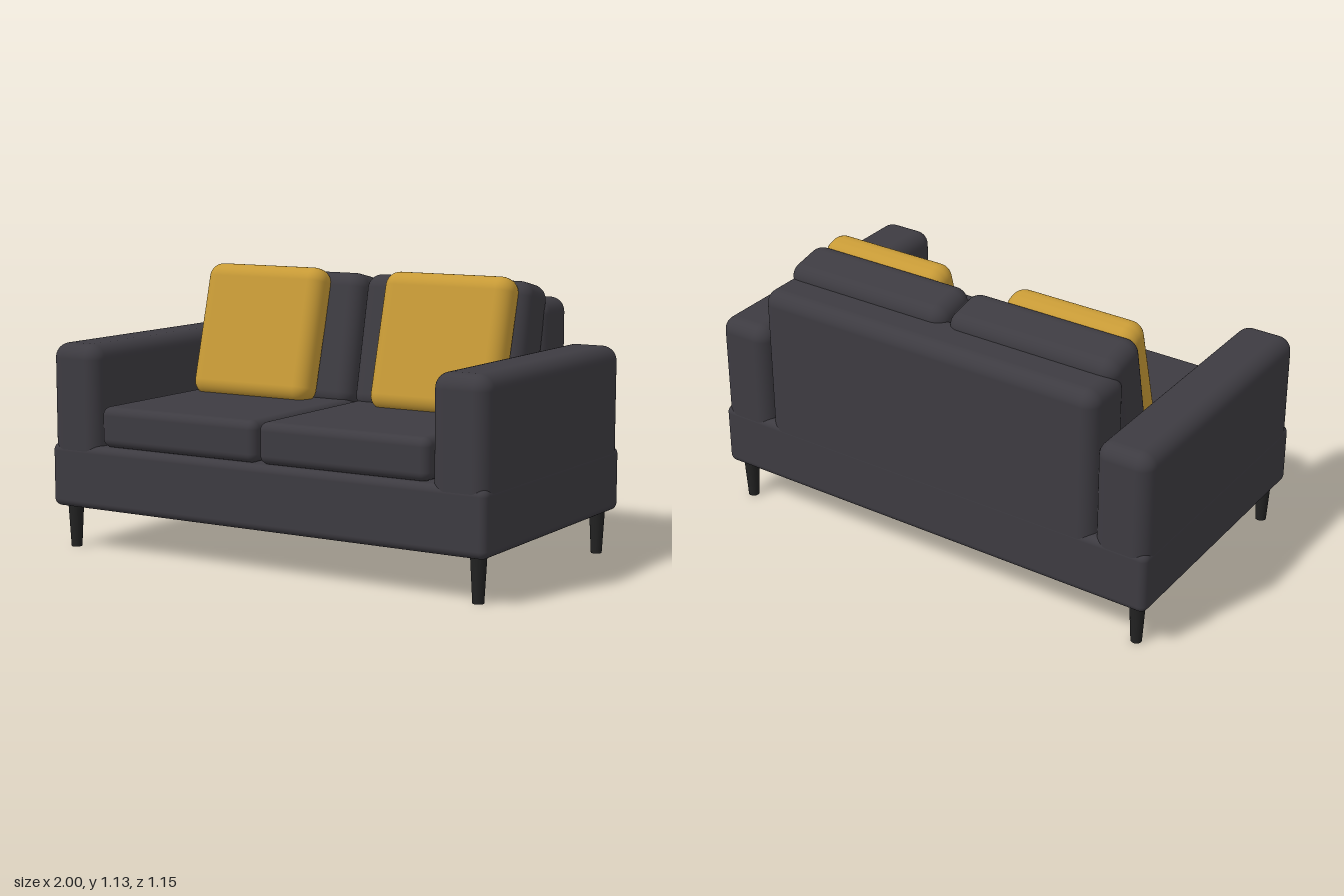
import * as THREE from 'three';
import { RoundedBoxGeometry } from 'three/addons/geometries/RoundedBoxGeometry.js';

export function createModel() {
  const model = new THREE.Group();
  model.name = 'sofa';
  const material = (name, color) => {
    const m = new THREE.MeshStandardMaterial({ color });
    m.name = name;
    return m;
  };
  const fabric = material('charcoal fabric', 0x3d3b41);
  const mustard = material('mustard fabric', 0xc79a36);
  const legPaint = material('black legs', 0x222222);

  // Softly rounded upholstered block, optionally leaning back
  function block(name, mat, size, pos, radius, lean = 0) {
    const mesh = new THREE.Mesh(new RoundedBoxGeometry(...size, 5, radius), mat);
    mesh.name = name;
    mesh.position.set(...pos);
    mesh.rotation.x = -THREE.MathUtils.degToRad(lean);
    model.add(mesh);
  }

  // Frame
  block('base', fabric, [2, 0.26, 1.154], [0, 0.305, 0], 0.03);
  block('backrest', fabric, [1.53, 0.72, 0.235], [0, 0.67, -0.459], 0.06);

  // Mirrored halves
  for (const [side, s] of [['left', 1], ['right', -1]]) {
    block(side + 'Arm', fabric, [0.235, 0.545, 1.152], [s * 0.8815, 0.5715, 0], 0.06);
    block(side + 'SeatCushion', fabric, [0.75, 0.165, 0.97], [s * 0.38, 0.517, 0.08], 0.035);
    block(side + 'BackCushion', fabric, [0.75, 0.56, 0.216], [s * 0.38, 0.824, -0.272], 0.06, 12);
    block(side + 'Pillow', mustard, [0.575, 0.565, 0.137], [s * 0.434, 0.855, -0.125], 0.06, 15);

    // Tapered legs
    for (const [end, z] of [['Front', 0.505], ['Back', -0.51]]) {
      const leg = new THREE.Mesh(new THREE.CylinderGeometry(0.032, 0.022, 0.18, 20), legPaint);
      leg.name = side + end + 'Leg';
      leg.position.set(s * 0.935, 0.09, z);
      model.add(leg);
    }
  }
  return model;
}
